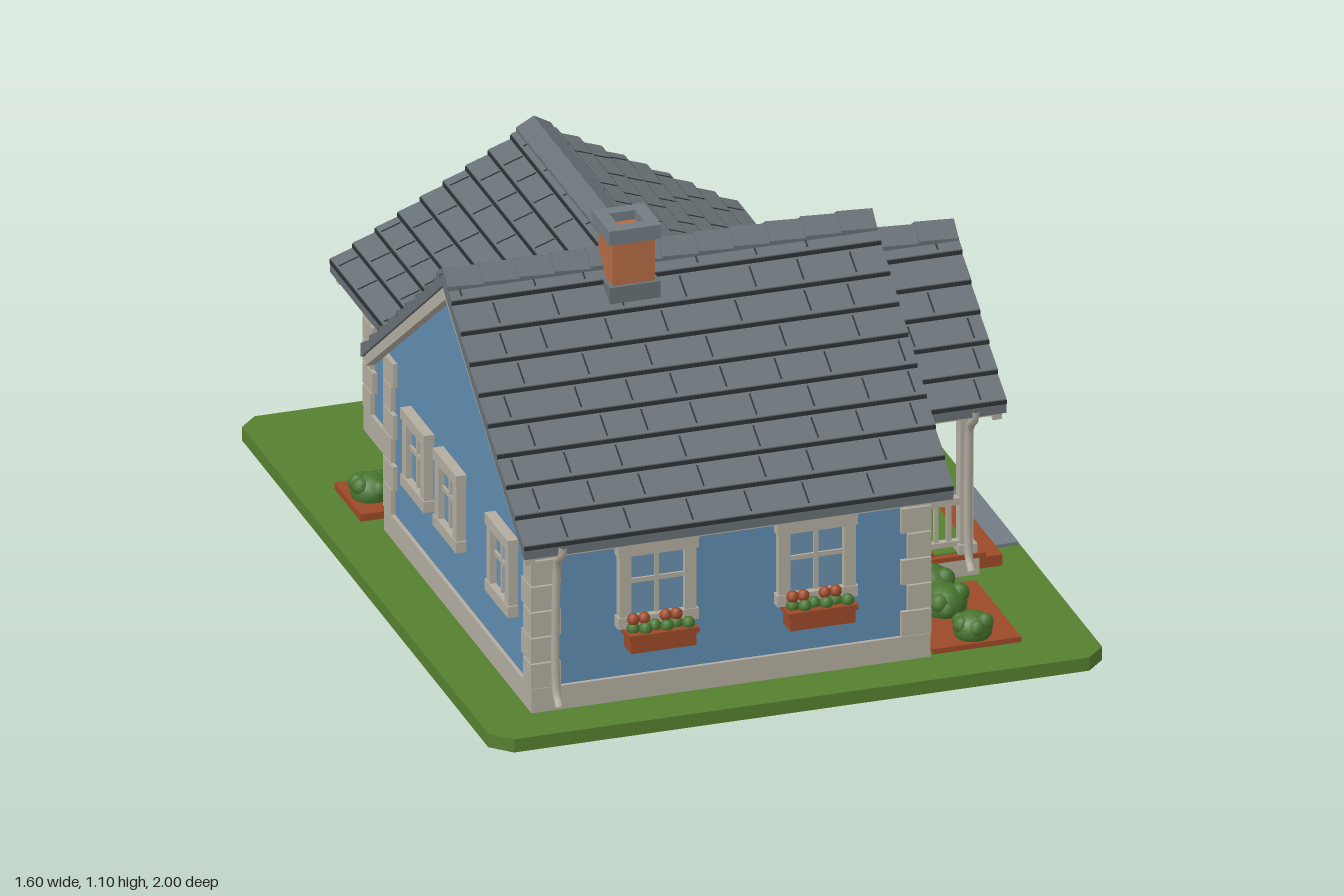
import * as THREE from 'three';
import { mergeGeometries } from 'three/addons/utils/BufferGeometryUtils.js';

const paint = (name, color) => {
  const m = new THREE.MeshStandardMaterial({ color });
  m.name = name;
  return m;
};

export function createModel() {
  const roofGrey = paint('slate roof', 0x687176), blue = paint('blue wall', 0x5f8cb0);
  const stone = paint('pale stone', 0xb3ada0), lawn = paint('lawn green', 0x56802f);
  const terracotta = paint('terracotta', 0x9c4a28), brick = paint('chimney brick', 0xb56c45);
  const leaf = paint('leaf green', 0x47752f), slab = paint('paving grey', 0x727c82);
  const glass = paint('window glass', 0x6a90ad), dark = paint('dark iron', 0x2e3336);

  const house = new THREE.Group();
  house.name = 'house';
  let seed = 7;
  const rnd = () => (seed = (seed * 16807) % 2147483647) / 2147483647;

  const add = (parent, name, geo, mat, x = 0, y = 0, z = 0) => {
    const m = new THREE.Mesh(geo, mat);
    m.name = name;
    m.position.set(x, y, z);
    parent.add(m);
    return m;
  };
  const box = (parent, name, mat, w, h, d, x, y, z) =>
    add(parent, name, new THREE.BoxGeometry(w, h, d), mat, x, y, z);
  // box given by its limits
  const span = (name, mat, x0, x1, y0, y1, z0, z1) =>
    box(house, name, mat, x1 - x0, y1 - y0, z1 - z0, (x0 + x1) / 2, (y0 + y1) / 2, (z0 + z1) / 2);
  const group = (name, x, y, z, turn = 0) => {
    const g = new THREE.Group();
    g.name = name;
    g.position.set(x, y, z);
    g.rotation.y = turn;
    house.add(g);
    return g;
  };
  const extrude = (pts, depth) => new THREE.ExtrudeGeometry(
    new THREE.Shape(pts.map(p => new THREE.Vector2(...p))), { depth, bevelEnabled: false });

  // Lawn with cut corners
  const c = 0.05;
  const lawnGeo = extrude([[-0.8, -1 + c], [-0.8 + c, -1], [0.8 - c, -1], [0.8, -1 + c],
    [0.8, 1 - c], [0.8 - c, 1], [-0.8 + c, 1], [-0.8, 1 - c]], 0.036).rotateX(-Math.PI / 2);
  add(house, 'lawn', lawnGeo, lawn);

  // Gable roof: stepped courses in local x/y, ridge along local z
  function gableRoof(name, x, z, turn, len, s, courses, yr, slope, trim = true) {
    const g = group(name, x, 0, z, turn);
    const Y = u => yr - slope * u, half = s * courses, step = 0.013;
    const side = [];
    for (let i = 0; i < courses; i++)
      side.push([i * s, Y(i * s)], [(i + 1) * s, Y((i + 1) * s) + step]);
    side.push([half, Y(half) - 0.025]);
    const mirror = side.slice(1).reverse().map(([a, b]) => [-a, b]);
    add(g, 'shingle courses', extrude([...side, [0, yr - 0.03], ...mirror], len), roofGrey);
    // dark gaps between the shingles
    const gaps = [], tilt = Math.atan((slope * s - step) / s);
    for (const sx of [-1, 1]) for (let i = 0; i < courses; i++) {
      const e = (i + 1) * s;
      gaps.push(new THREE.BoxGeometry(0.003, step * 0.8, len).translate(sx * (e + 0.001), Y(e) + step * 0.4, len / 2));
      for (let t = rnd() * 0.1 + 0.03; t < len - 0.02; t += 0.1 + rnd() * 0.1)
        gaps.push(new THREE.BoxGeometry(s * 0.9, 0.002, 0.004).rotateZ(-sx * tilt)
          .translate(sx * (e - s / 2), (Y(i * s) + Y(e) + step) / 2 + 0.0005, t));
    }
    add(g, 'shingle gaps', mergeGeometries(gaps), dark);
    // overlapping ridge caps
    const n = Math.max(2, Math.round(len / 0.09)), w = 0.045;
    const cap = [[0, 0.016], [w, 0.016 - w * slope], [w, 0.002 - w * slope], [0, 0], [-w, 0.002 - w * slope], [-w, 0.016 - w * slope]];
    const caps = [];
    for (let i = 0; i < n; i++)
      caps.push(extrude(cap, len / n).rotateX(0.06).translate(0, yr + 0.005, i * len / n));
    add(g, 'ridge caps', mergeGeometries(caps), roofGrey);
    if (!trim) return;
    // bargeboards at both ends and fascia along the eaves
    const b = half - 0.012;
    const board = [[0, yr - 0.022], [b, Y(b) - 0.02], [b, Y(b) - 0.055], [0, yr - 0.068], [-b, Y(b) - 0.055], [-b, Y(b) - 0.02]];
    for (const t of [0.008, len - 0.033]) add(g, 'bargeboard', extrude(board, 0.025), stone, 0, 0, t);
    for (const sx of [-1, 1])
      box(g, 'eave fascia', stone, 0.012, 0.022, len - 0.02, sx * (half - 0.012), Y(half) - 0.02, len / 2);
  }
  const Q = Math.PI / 2;
  gableRoof('mainRoof', -0.7, 0.3, Q, 1.12, 0.07, 9, 0.985, 0.754);
  gableRoof('porchRoof', 0.39, 0.1, Q, 0.31, 0.0683, 6, 0.828, 0.754);
  gableRoof('garageRoof', -0.06, -0.89, 0, 0.6, 0.0589, 9, 0.78, 0.57);
  gableRoof('garageRoofJoint', -0.06, -0.29, 0, 0.34, 0.0589, 7, 0.78, 0.57, false);

  // Gabled wall blocks, same local frame as the roofs
  function gableBlock(name, x, z, turn, len, half, y0, peak, slope) {
    const e = peak - slope * half;
    add(group(name, x, 0, z, turn), 'wall', extrude([[-half, y0], [half, y0], [half, e], [0, peak], [-half, e]], len), blue);
  }
  gableBlock('mainWalls', -0.65, 0.3, Q, 1.02, 0.56, 0.03, 0.962, 0.754);
  gableBlock('garageWalls', -0.06, -0.83, 0, 0.6, 0.45, 0.03, 0.757, 0.57);
  gableBlock('porchGable', 0.36, 0.1, Q, 0.275, 0.335, 0.505, 0.805, 0.754);

  // Foundations
  span('mainFoundation', stone, -0.66, 0.38, 0.03, 0.1, -0.27, 0.87);
  span('garageFoundation', stone, -0.52, 0.397, 0.03, 0.1, -0.84, -0.25);

  // Corner stones
  function quoins(x, z, sx, sz, top) {
    const g = group('cornerStones', x, 0, z), n = 6, h = (top - 0.1) / n;
    for (let i = 0; i < n; i++) {
      const a = i % 2 ? 0.062 : 0.078, b = i % 2 ? 0.078 : 0.062;
      box(g, 'cornerStone', stone, a, h - 0.004, b, sx * (0.012 - a / 2), 0.1 + h * (i + 0.5), sz * (0.012 - b / 2));
    }
  }
  for (const x of [-0.65, 0.37]) for (const z of [-0.26, 0.86])
    quoins(x, z, Math.sign(x), Math.sign(z), 0.52);
  quoins(0.39, -0.83, 1, -1, 0.47);
  quoins(-0.51, -0.83, -1, -1, 0.47);

  // Window facing local +z, with optional flower box
  function windowAt(x, y, z, turn, w = 0.2, h = 0.22, planter = false) {
    const g = group('window', x, y, z, turn), f = 0.03;
    box(g, 'glass', glass, w - f, h - f, 0.008, 0, 0, 0.005);
    for (const s of [-1, 1]) {
      box(g, 'frameSide', stone, f, h, 0.03, s * (w - f) / 2, 0, 0.01);
      box(g, 'frameRail', stone, w + 0.01, f, 0.036, 0, s * (h - f) / 2, 0.01);
    }
    box(g, 'mullion', stone, 0.012, h - f, 0.014, 0, 0, 0.008);
    box(g, 'crossbar', stone, w - f, 0.012, 0.014, 0, 0.01, 0.008);
    if (!planter) return;
    box(g, 'flowerBox', terracotta, 0.17, 0.042, 0.055, 0, -h / 2 - 0.03, 0.04);
    box(g, 'flowerBoxRim', terracotta, 0.182, 0.014, 0.065, 0, -h / 2 - 0.008, 0.04);
    for (let i = 0; i < 6; i++) {
      const px = -0.07 + i * 0.028;
      add(g, 'leaves', new THREE.IcosahedronGeometry(0.017, 1), leaf, px, -h / 2 + 0.006, 0.04 + (i % 2) * 0.012);
      if (i % 3 !== 2) add(g, 'flower', new THREE.IcosahedronGeometry(0.016, 1), terracotta, px, -h / 2 + 0.03, 0.04);
    }
  }
  for (const x of [-0.335, 0.08]) windowAt(x, 0.35, 0.86, 0, 0.2, 0.225, true);
  for (const x of [-0.29, 0.12]) windowAt(x, 0.34, -0.83, Math.PI, 0.19, 0.22, true);
  windowAt(0.37, 0.35, 0.615, Q, 0.19, 0.225, true);
  windowAt(0.37, 0.365, -0.095, Q, 0.16, 0.2);
  for (const z of [0.65, 0.25, 0]) windowAt(-0.65, 0.345, z, -Q, 0.17, 0.21);
  windowAt(-0.51, 0.28, -0.47, -Q, 0.26, 0.16);

  // Gable vents
  for (const [x, y, z, t] of [[0.635, 0.64, 0.085, Q], [-0.06, 0.61, -0.83, Math.PI]]) {
    const g = group('gableVent', x, y, z, t);
    box(g, 'ventFrame', stone, 0.085, 0.105, 0.02, 0, 0, 0.005);
    box(g, 'ventOpening', slab, 0.052, 0.07, 0.006, 0, 0, 0.014);
    for (const dy of [-0.022, 0, 0.022]) box(g, 'ventSlat', stone, 0.052, 0.01, 0.012, 0, dy, 0.016);
  }

  // Front door
  const door = group('frontDoor', 0.375, 0, 0.17, Q);
  box(door, 'doorFrame', stone, 0.2, 0.36, 0.02, 0, 0.275, 0);
  box(door, 'doorLeaf', terracotta, 0.165, 0.34, 0.03, 0, 0.265, 0);
  for (const dx of [-0.037, 0.037]) for (const [dy, h] of [[0.17, 0.1], [0.34, 0.14]])
    box(door, 'doorPanel', terracotta, 0.05, h, 0.008, dx, dy, 0.017);
  add(door, 'doorKnob', new THREE.SphereGeometry(0.008, 8, 6), dark, 0.065, 0.26, 0.02);

  // Wall lantern
  const lantern = group('lantern', 0.42, 0.41, 0.03);
  add(lantern, 'lanternBody', new THREE.CylinderGeometry(0.022, 0.014, 0.055, 6), dark);
  add(lantern, 'lanternCap', new THREE.ConeGeometry(0.03, 0.022, 6), dark, 0, 0.038, 0);
  box(lantern, 'lanternArm', dark, 0.05, 0.008, 0.008, -0.025, 0.045, 0);

  // Porch floor, steps, posts and beams
  span('porchBase', stone, 0.37, 0.65, 0.03, 0.083, -0.25, 0.45);
  span('porchEdge', terracotta, 0.37, 0.665, 0.083, 0.095, -0.255, 0.455);
  span('porchFloor', lawn, 0.375, 0.635, 0.09, 0.098, -0.235, 0.435);
  span('brickStep', terracotta, 0.65, 0.72, 0.03, 0.066, 0.06, 0.42);
  span('pathSlab', slab, 0.7, 0.795, 0.03, 0.045, -0.02, 0.32);
  for (const z of [0.425, -0.23]) {
    span('porchPost', stone, 0.603, 0.637, 0.09, 0.51, z - 0.017, z + 0.017);
    span('postFoot', stone, 0.596, 0.644, 0.09, 0.12, z - 0.024, z + 0.024);
    span('sideBeam', stone, 0.37, 0.64, 0.495, 0.53, z - 0.018, z + 0.018);
  }
  span('frontBeam', stone, 0.605, 0.645, 0.495, 0.53, -0.25, 0.445);
  function railing(x, z, turn, len) {
    const g = group('railing', x, 0, z, turn);
    box(g, 'topRail', stone, len, 0.018, 0.024, len / 2, 0.235, 0);
    box(g, 'bottomRail', stone, len, 0.014, 0.018, len / 2, 0.12, 0);
    const n = Math.round(len / 0.033);
    for (let i = 1; i < n; i++) box(g, 'baluster', stone, 0.011, 0.12, 0.011, i * len / n, 0.175, 0);
  }
  railing(0.38, 0.425, 0, 0.23);
  railing(0.38, -0.23, 0, 0.23);
  railing(0.62, 0.04, Q, 0.26);
  span('railPost', stone, 0.6, 0.64, 0.09, 0.265, 0.02, 0.06);
  span('railPostCap', stone, 0.594, 0.646, 0.265, 0.277, 0.014, 0.066);

  // Garage door
  span('garageDoor', slab, 0.385, 0.4, 0.04, 0.385, -0.74, -0.36);
  for (let r = 0; r < 4; r++) for (let k = 0; k < 4; k++)
    span('garagePanel', slab, 0.398, 0.404, 0.045 + r * 0.085, 0.125 + r * 0.085, -0.737 + k * 0.094, -0.643 + k * 0.094 - 0.006);
  for (const z of [-0.755, -0.34]) span('garageJamb', stone, 0.385, 0.412, 0.03, 0.385, z - 0.02, z + 0.02);
  span('garageLintel', stone, 0.385, 0.414, 0.38, 0.415, -0.78, -0.315);

  // Wheel strips of the drive
  for (const x of [0.425, 0.61]) span('driveStrip', slab, x - 0.048, x + 0.048, 0.03, 0.043, -0.93, -0.3);

  // Chimney
  span('chimneyStack', brick, -0.295, -0.185, 0.85, 1.075, 0.305, 0.415);
  span('chimneyFlashing', roofGrey, -0.305, -0.173, 0.85, 0.945, 0.31, 0.425);
  for (const s of [-1, 1]) {
    box(house, 'chimneyCapSide', slab, 0.034, 0.038, 0.136, -0.24 + s * 0.051, 1.081, 0.36);
    box(house, 'chimneyCapEnd', slab, 0.07, 0.038, 0.034, -0.24, 1.081, 0.36 + s * 0.051);
  }

  // Downspouts
  const spout = (x, z) => {
    const path = new THREE.CatmullRomCurve3([[0, 0.51, 0.05], [0, 0.485, 0.045], [0, 0.45, 0.01], [0, 0.4, 0], [0, 0.09, 0], [0, 0.06, 0.025]]
      .map(p => new THREE.Vector3(...p)));
    add(house, 'downspout', new THREE.TubeGeometry(path, 30, 0.011, 8), stone, x, 0, z);
  };
  spout(-0.6, 0.885);
  spout(0.62, 0.455);

  // Flower beds and bushes
  span('sideBed', terracotta, 0.39, 0.62, 0.03, 0.05, 0.51, 0.86);
  span('cornerBed', terracotta, -0.7, -0.59, 0.03, 0.055, -0.53, -0.33);
  for (const [x, z, r] of [[0.49, 0.54, 0.06], [0.49, 0.65, 0.058], [0.51, 0.81, 0.05], [-0.64, -0.43, 0.052], [0.19, -0.92, 0.05], [0.285, -0.92, 0.045]]) {
    const g = group('bush', x, 0.07, z);
    add(g, 'bushCrown', new THREE.IcosahedronGeometry(r, 2), leaf).scale.y = 0.9;
    for (let i = 0; i < 6; i++) {
      const a = i * 1.05 + rnd();
      add(g, 'bushLump', new THREE.IcosahedronGeometry(r * 0.45, 1), leaf, Math.cos(a) * r * 0.65, (rnd() - 0.2) * r * 0.6, Math.sin(a) * r * 0.65);
    }
  }
  return house;
}
